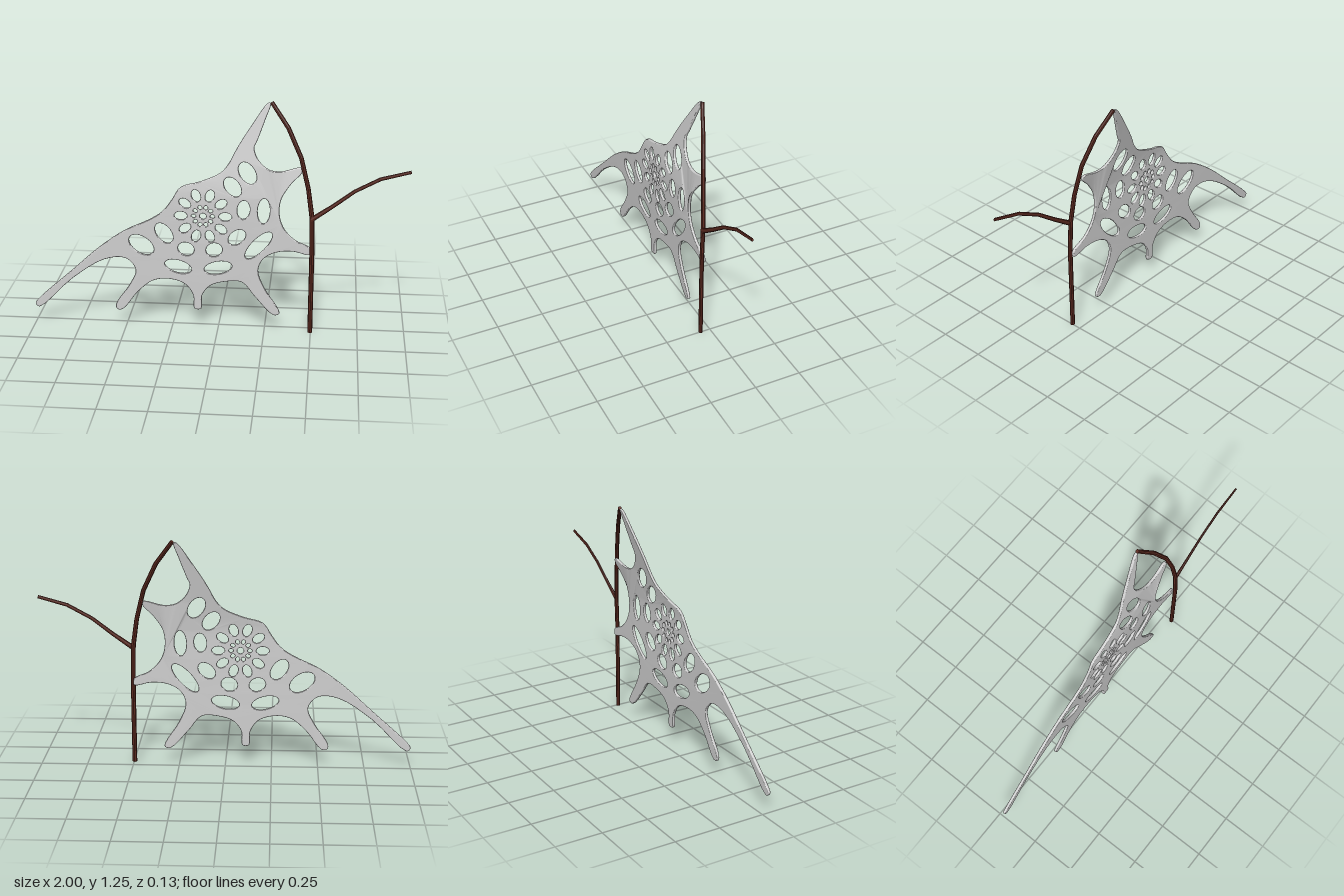
import * as THREE from 'three';
import { mergeVertices } from 'three/addons/utils/BufferGeometryUtils.js';

const webGrey = new THREE.MeshStandardMaterial({ name: 'web grey', color: 0xcfcfcf });
const barkBrown = new THREE.MeshStandardMaterial({ name: 'bark brown', color: 0x5c2a20 });

// Web outline, clockwise from the top tip
const OUTLINE = [
  [0.265, 1.24], [0.24, 1.16], [0.2, 1.05], [0.185, 1.01], [0.21, 0.945], [0.265, 0.9], [0.33, 0.893],
  [0.428, 0.915], [0.437, 0.895], [0.38, 0.83], [0.33, 0.745], [0.325, 0.65], [0.353, 0.578], [0.41, 0.52],
  [0.49, 0.48], [0.49, 0.443], [0.395, 0.46], [0.305, 0.45], [0.24, 0.41], [0.214, 0.342], [0.25, 0.24],
  [0.327, 0.117], [0.33, 0.095], [0.3, 0.087], [0.198, 0.192], [0.128, 0.273], [0.037, 0.273],
  [-0.043, 0.246], [-0.086, 0.187], [-0.091, 0.11], [-0.128, 0.11], [-0.134, 0.187], [-0.176, 0.25],
  [-0.257, 0.278], [-0.348, 0.267], [-0.433, 0.198], [-0.52, 0.09], [-0.55, 0.09], [-0.556, 0.118],
  [-0.48, 0.235], [-0.444, 0.326], [-0.497, 0.39], [-0.61, 0.38], [-0.79, 0.262], [-0.98, 0.086],
  [-1, 0.105], [-0.99, 0.125], [-0.79, 0.31], [-0.63, 0.455], [-0.497, 0.55], [-0.364, 0.615],
  [-0.294, 0.663], [-0.246, 0.727], [-0.198, 0.797], [-0.096, 0.829], [0.01, 0.877], [0.048, 0.92],
  [0.096, 1.01], [0.171, 1.13], [0.25, 1.24],
];

// Large openings: centre x, y, half length, half width, turn in degrees
const OPENINGS = [
  [-0.41, 0.47, 0.075, 0.046, -35], [-0.288, 0.54, 0.063, 0.039, -55],
  [-0.214, 0.352, 0.074, 0.036, -15], [0, 0.352, 0.076, 0.036, 12],
  [0.215, 0.487, 0.1, 0.036, 48], [0.24, 0.68, 0.07, 0.032, 88],
  [0.152, 0.88, 0.063, 0.04, -58], [0.075, 0.806, 0.058, 0.038, -52],
  [-0.171, 0.454, 0.044, 0.037, -20], [-0.021, 0.454, 0.044, 0.038, 20],
  [0.1, 0.529, 0.053, 0.036, 42], [0.134, 0.684, 0.052, 0.033, 85],
];

function createWeb() {
  const curve = new THREE.CatmullRomCurve3(OUTLINE.map(([x, y]) => new THREE.Vector3(x, y, 0)), true);
  const points = curve.getPoints(OUTLINE.length * 4).slice(0, -1);
  const shape = new THREE.Shape(points.map((p) => new THREE.Vector2(p.x, p.y)));
  const addHole = (x, y, a, b, turn, n = 20) => {
    const path = new THREE.EllipseCurve(x, y, a, b, 0, Math.PI * 2, false, turn);
    shape.holes.push(new THREE.Path(path.getPoints(n).slice(0, -1)));
  };
  for (const [x, y, a, b, deg] of OPENINGS) addHole(x, y, a, b, THREE.MathUtils.degToRad(deg));

  // Two rings of small openings around the hub
  const hx = -0.08, hy = 0.642;
  for (let i = 0; i < 10; i++) {
    const t = (i * Math.PI) / 5;
    const c = Math.cos(t), s = Math.sin(t);
    addHole(hx + 0.118 * c, hy + 0.118 * s, 0.034, 0.023, t, 16);
    addHole(hx + 0.05 * c, hy + 0.05 * s, 0.012, 0.01, t, 10);
  }
  addHole(hx, hy, 0.017, 0.017, 0, 12);

  let geo = new THREE.ExtrudeGeometry(shape, {
    depth: 0.006, bevelEnabled: true, bevelThickness: 0.005, bevelSize: 0.004, bevelOffset: -0.004, bevelSegments: 3,
  });
  // Lean the upper part backwards
  const pos = geo.attributes.position;
  for (let i = 0; i < pos.count; i++) {
    const over = pos.getY(i) - 0.77;
    const lean = (over + Math.sqrt(over * over + 0.002)) / 2;
    pos.setZ(i, pos.getZ(i) + 0.035 - 0.19 * lean);
  }
  // Weld for soft, rounded edges
  geo.deleteAttribute('normal');
  geo.deleteAttribute('uv');
  geo = mergeVertices(geo, 1e-5);
  geo.computeVertexNormals();
  const mesh = new THREE.Mesh(geo, webGrey);
  mesh.name = 'web';
  return mesh;
}

// Faceted stick along points [x, y, z, half width, half depth]
function createStick(name, path, sides = 8) {
  const pts = path.map(([x, y, z]) => new THREE.Vector3(x, y, z));
  const forward = new THREE.Vector3(0, 0, 1);
  const verts = [], index = [];
  const last = pts.length - 1;
  pts.forEach((p, k) => {
    const before = pts[Math.max(k - 1, 0)], after = pts[Math.min(k + 1, last)];
    const t = after.clone().sub(before).normalize();
    const a = t.clone().cross(forward).normalize();
    const b = t.clone().cross(a);
    for (let j = 0; j < sides; j++) {
      const u = (j / sides) * Math.PI * 2;
      const v = p.clone().addScaledVector(a, Math.cos(u) * path[k][3]).addScaledVector(b, Math.sin(u) * path[k][4]);
      verts.push(v.x, v.y, v.z);
    }
  });
  const start = pts.length * sides, end = start + 1;
  verts.push(...pts[0].toArray(), ...pts[last].toArray());
  for (let j = 0; j < sides; j++) {
    const n = (j + 1) % sides;
    for (let k = 0; k < last; k++) {
      const r = k * sides, q = r + sides;
      index.push(r + j, r + n, q + n, r + j, q + n, q + j);
    }
    index.push(start, n, j, end, last * sides + j, last * sides + n);
  }
  const geo = new THREE.BufferGeometry();
  geo.setAttribute('position', new THREE.Float32BufferAttribute(verts, 3));
  geo.setIndex(index);
  const flat = geo.toNonIndexed();
  flat.computeVertexNormals();
  const mesh = new THREE.Mesh(flat, barkBrown);
  mesh.name = name;
  return mesh;
}

export function createModel() {
  const group = new THREE.Group();
  group.name = 'webOnBranch';
  group.add(createWeb());
  group.add(createStick('mainBranch', [
    [0.497, 0, 0.053, 0.013, 0.011], [0.497, 0.48, 0.053, 0.013, 0.011], [0.492, 0.66, 0.046, 0.013, 0.011],
    [0.47, 0.81, 0.036, 0.012, 0.011], [0.43, 0.97, 0.018, 0.012, 0.011], [0.36, 1.12, -0.014, 0.012, 0.011],
    [0.27, 1.245, -0.053, 0.011, 0.01],
  ]));
  group.add(createStick('sideBranch', [
    [0.49, 0.645, 0.05, 0.014, 0.009], [0.6, 0.723, 0.049, 0.011, 0.007], [0.71, 0.808, 0.049, 0.01, 0.006],
    [0.84, 0.879, 0.05, 0.01, 0.006], [0.995, 0.922, 0.053, 0.009, 0.005],
  ]));
  return group;
}
